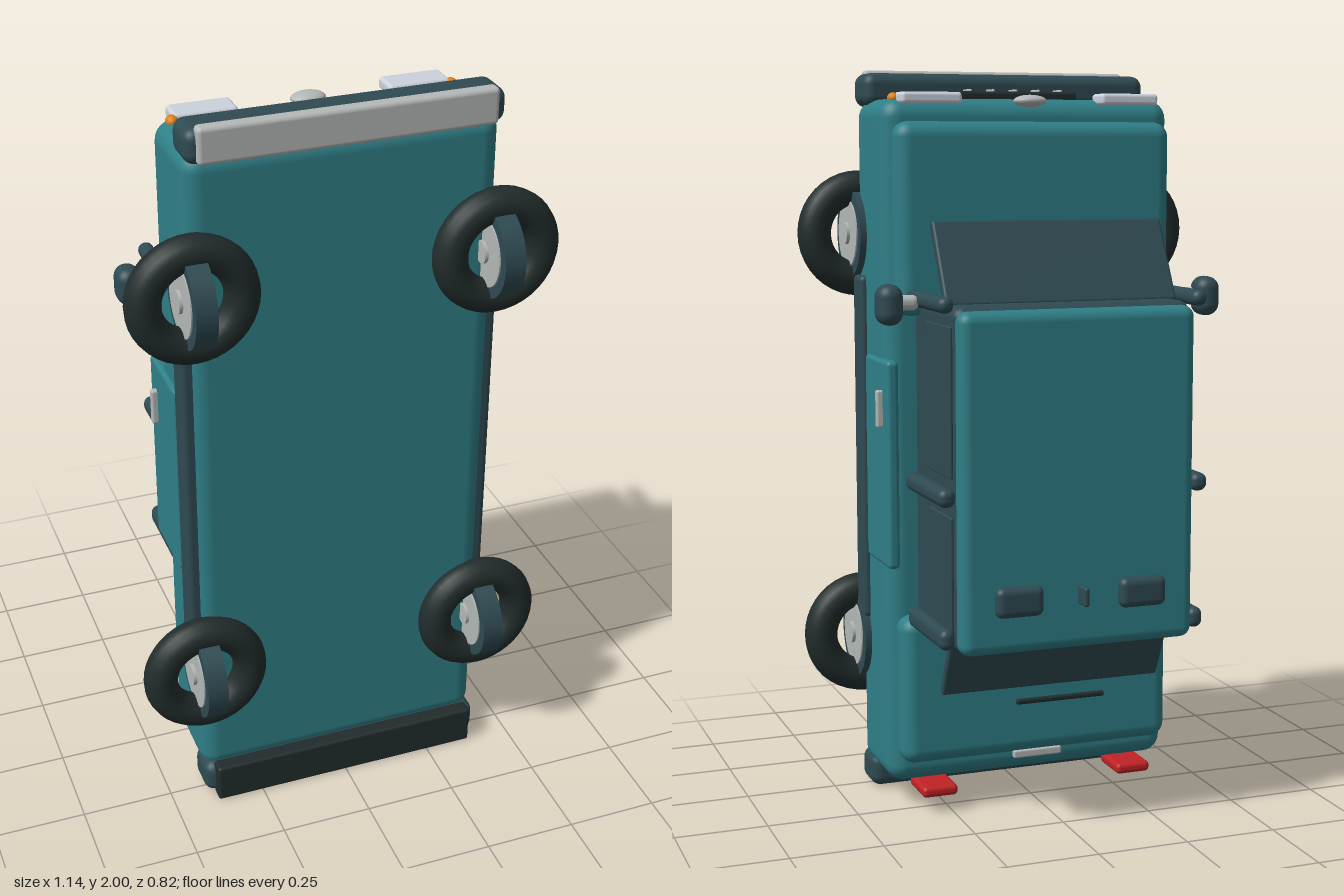
import * as THREE from 'three';
import { RoundedBoxGeometry } from 'three/addons/geometries/RoundedBoxGeometry.js';

const paint = (name, color) => {
  const m = new THREE.MeshStandardMaterial({ color });
  m.name = name;
  return m;
};

// A toy car standing on its tail: nose towards +y, underside towards +z, roof towards -z.
export function createModel() {
  const car = new THREE.Group();
  car.name = 'car';
  const teal = paint('teal paint', 0x2f7f87);
  const slate = paint('slate trim', 0x2f4a52);
  const black = paint('black rubber', 0x222c2c);
  const silver = paint('silver', 0xb4b8b6);
  const lamp = paint('headlight glass', 0xccd2dc);
  const orange = paint('orange lens', 0xe08010);
  const red = paint('red lens', 0xc02226);

  const add = (name, geometry, material, x, y, z) => {
    const mesh = new THREE.Mesh(geometry, material);
    mesh.name = name;
    mesh.position.set(x, y, z);
    car.add(mesh);
    return mesh;
  };
  // Rounded box given by its limits on each axis
  const box = (name, material, [x0, x1], [y0, y1], [z0, z1], r = 0.01) =>
    add(name, new RoundedBoxGeometry(x1 - x0, y1 - y0, z1 - z0, 4, r), material,
      (x0 + x1) / 2, (y0 + y1) / 2, (z0 + z1) / 2);
  // The same box on both sides
  const pair = (name, material, [x0, x1], ys, zs, r) => {
    box(name + 'Left', material, [x0, x1], ys, zs, r);
    box(name + 'Right', material, [-x1, -x0], ys, zs, r);
  };

  // Body shell
  box('body', teal, [-0.408, 0.408], [0.07, 1.92], [0, 0.275], 0.05);
  box('hood', teal, [-0.387, 0.387], [1.355, 1.86], [-0.058, 0.03], 0.04);
  box('trunk', teal, [-0.387, 0.387], [0.14, 0.547], [-0.068, 0.03], 0.04);
  pair('sill', slate, [0.37, 0.425], [0.5, 1.45], [0.18, 0.257], 0.015);
  pair('door', teal, [0.388, 0.421], [0.685, 1.24], [-0.055, 0.158], 0.012);
  pair('doorHandle', silver, [0.41, 0.437], [1.06, 1.16], [-0.012, 0.008], 0.006);

  // Cabin
  box('cabin', slate, [-0.325, 0.325], [0.51, 1.4], [-0.33, 0.02], 0.03);
  box('roof', teal, [-0.322, 0.322], [0.51, 1.39], [-0.368, -0.3], 0.03);
  pair('frontWindow', slate, [0.324, 0.332], [0.965, 1.35], [-0.31, -0.11], 0.003);
  pair('rearSideWindow', slate, [0.324, 0.332], [0.56, 0.865], [-0.31, -0.125], 0.003);
  pair('frontPillar', slate, [0.326, 0.368], [1.385, 1.427], [-0.34, -0.04], 0.02);
  pair('middlePillar', slate, [0.326, 0.372], [0.897, 0.945], [-0.345, -0.04], 0.02);
  pair('rearPillar', slate, [0.326, 0.368], [0.525, 0.58], [-0.335, -0.04], 0.02);
  box('cowl', black, [-0.285, 0.285], [1.397, 1.405], [-0.11, -0.055], 0.003);

  // Tilted glass at both ends of the cabin
  const windscreen = add('windscreen', new RoundedBoxGeometry(0.64, 0.24, 0.026, 3, 0.008), slate, 0, 1.497, -0.178);
  windscreen.rotation.x = 0.5;
  const rearWindow = add('rearWindow', new RoundedBoxGeometry(0.62, 0.24, 0.026, 3, 0.008), slate, 0, 0.47, -0.2);
  rearWindow.rotation.x = -0.45;
  box('rearWiper', black, [-0.125, 0.125], [0.333, 0.347], [-0.232, -0.218], 0.005);

  // Roof fittings
  pair('roofPod', slate, [0.105, 0.235], [0.61, 0.69], [-0.392, -0.35], 0.02);
  box('aerial', slate, [-0.007, 0.007], [0.63, 0.68], [-0.415, -0.35], 0.006);

  // Door mirrors
  pair('mirrorArm', silver, [0.36, 0.435], [1.38, 1.42], [-0.16, -0.12], 0.018);
  pair('mirror', slate, [0.41, 0.477], [1.345, 1.45], [-0.198, -0.115], 0.032);

  // Bumpers
  box('frontBumper', slate, [-0.407, 0.407], [1.9, 1.99], [0.177, 0.297], 0.03);
  box('frontBumperStrip', silver, [-0.38, 0.38], [1.905, 2], [0.272, 0.31], 0.012);
  box('rearBumper', slate, [-0.407, 0.407], [0.005, 0.1], [0.18, 0.297], 0.03);
  box('rearBumperStrip', black, [-0.38, 0.38], [0, 0.11], [0.28, 0.325], 0.008);
  box('rearBumperInsert', silver, [-0.1, 0.1], [0.002, 0.02], [0.228, 0.248], 0.004);

  // Nose: lamps, badge plate and grille
  pair('headlight', lamp, [0.197, 0.362], [1.905, 1.936], [-0.022, 0.056], 0.01);
  for (const s of [-1, 1]) {
    const lens = add(s > 0 ? 'indicatorLeft' : 'indicatorRight', new THREE.SphereGeometry(0.019, 16, 12), orange, s * 0.365, 1.92, 0.05);
    lens.scale.set(0.85, 0.8, 1);
  }
  const boss = add('noseBoss', new THREE.SphereGeometry(0.046, 24, 16), silver, 0, 1.915, 0.004);
  boss.scale.set(1, 0.35, 0.72);
  box('grille', black, [-0.17, 0.17], [1.9, 1.942], [0.097, 0.174], 0.008);
  for (let i = -2; i <= 2; i++)
    box('grilleSlat', silver, [i * 0.065 - 0.004, i * 0.065 + 0.004], [1.935, 1.948], [0.11, 0.165], 0.003);

  // Tail
  pair('tailLight', red, [0.235, 0.335], [0.045, 0.075], [-0.068, 0.06], 0.012);
  box('tailPlate', silver, [-0.07, 0.07], [0.125, 0.147], [-0.058, -0.038], 0.005);

  // Wheels: flat-lying tyres crossed by a drum and hub on the axle
  const tyre = new THREE.TorusGeometry(0.125, 0.046, 16, 40);
  const axleCylinder = (r, length) => new THREE.CylinderGeometry(r, r, length, 36).rotateZ(Math.PI / 2);
  const drum = axleCylinder(0.121, 0.056);
  const hub = axleCylinder(0.092, 0.064);
  const cap = axleCylinder(0.03, 0.082);
  for (const x of [-0.398, 0.398]) {
    for (const y of [0.435, 1.56]) {
      add('tyre', tyre, black, x, y, 0.288);
      add('wheelDrum', drum, slate, x, y, 0.288);
      add('wheelHub', hub, silver, x, y, 0.288);
      add('hubCap', cap, silver, x, y, 0.288);
    }
  }
  return car;
}
